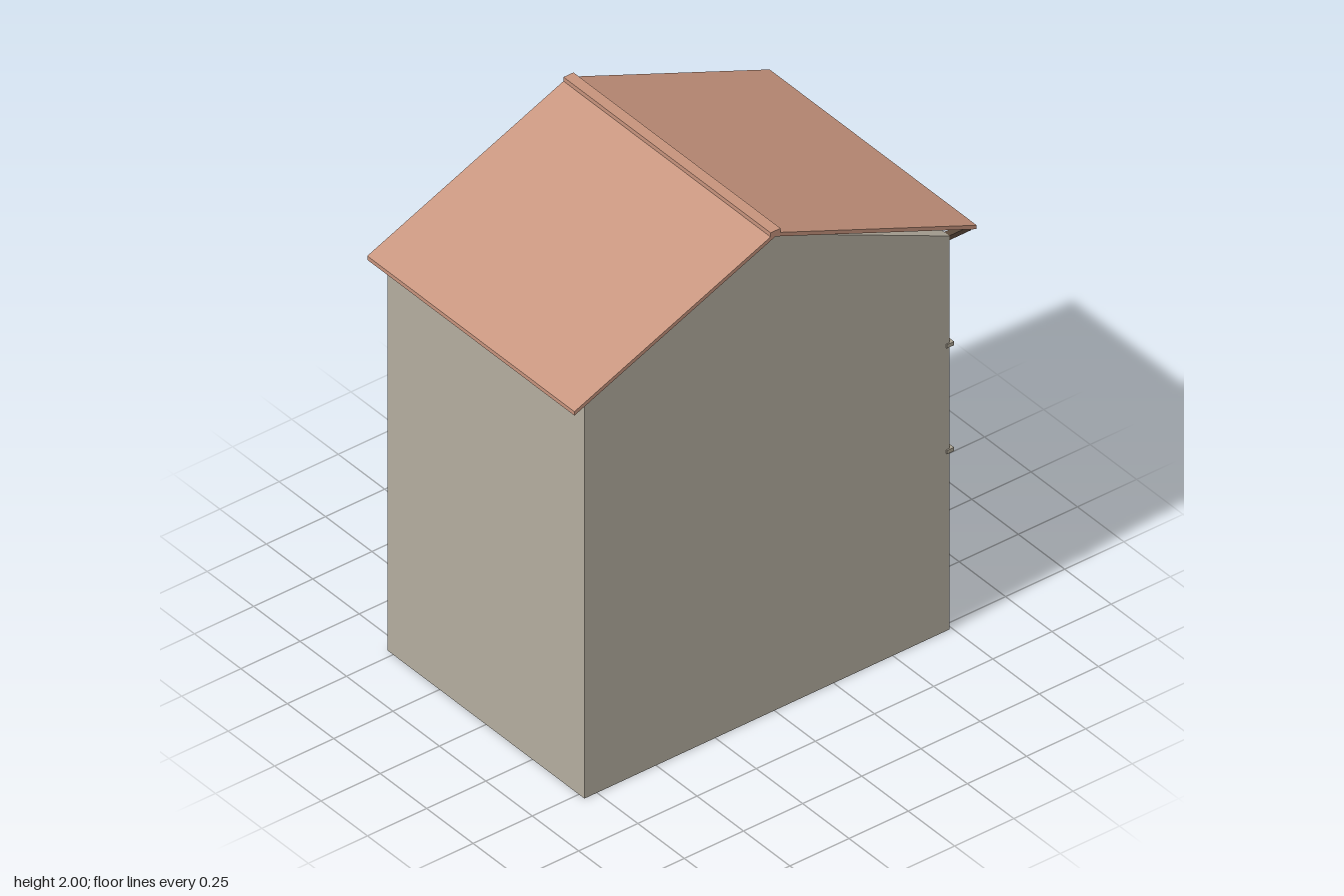
import * as THREE from 'three';

const mat = (name, color) => {
  const m = new THREE.MeshStandardMaterial({ color });
  m.name = name;
  return m;
};

export function createModel() {
  const stone = mat('stone', 0xb4ad9f);
  const trim = mat('trim stone', 0xaaa292);
  const tile = mat('roof tile', 0xc6937c);
  const dark = mat('dark opening', 0x1c1c1c);
  const shutterWood = mat('shutter wood', 0x8a6c58);
  const rafterWood = mat('rafter wood', 0x5c4a3c);
  const greyWood = mat('weathered wood', 0x857f71);
  const crateGrey = mat('crate', 0xb3ada0);
  const goods = mat('terracotta goods', 0xc8775a);

  const house = new THREE.Group();
  house.name = 'house';
  const facade = new THREE.Group();
  facade.name = 'facade';

  const add = (parent, name, geo, material, x = 0, y = 0, z = 0) => {
    const m = new THREE.Mesh(geo, material);
    m.name = name;
    m.position.set(x, y, z);
    parent.add(m);
    return m;
  };
  const box = (parent, name, w, h, d, material, x, y, z) =>
    add(parent, name, new THREE.BoxGeometry(w, h, d), material, x, y, z);

  // Extrudes a (z, y) outline along x, centred on x = 0
  const prism = (name, points, width, material) => {
    const shape = new THREE.Shape(points.map(([z, y]) => new THREE.Vector2(-z, y)));
    const geo = new THREE.ExtrudeGeometry(shape, { depth: width, bevelEnabled: false });
    geo.rotateY(Math.PI / 2).translate(-width / 2, 0, 0);
    return add(house, name, geo, material);
  };

  // Gabled body, roof slopes and ridge cap
  const ridgeZ = 0.017;
  prism('walls', [[0.803, 0], [0.803, 1.62], [ridgeZ, 1.97], [-0.74, 1.62], [-0.74, 0]], 1.06, stone);
  for (const s of [1, -1]) {
    const eave = ridgeZ + s * 0.85;
    prism('roofSlope', [[eave, 1.622], [eave, 1.638], [ridgeZ, 1.992], [ridgeZ, 1.976]], 1.115, tile);
  }
  box(house, 'ridgeCap', 1.115, 0.02, 0.042, tile, 0, 1.99, ridgeZ);

  // Facade parts are built facing +z, then turned to the back
  facade.position.z = -0.74;
  facade.rotation.y = Math.PI;
  house.add(facade);

  // Round-headed dark panel: sill height y, half width r, spring line at y + h
  const archedPanel = (parent, name, x, y, r, h) => {
    const s = new THREE.Shape();
    s.moveTo(-r, 0);
    s.lineTo(r, 0);
    s.lineTo(r, h);
    s.absarc(0, h, r, 0, Math.PI, false);
    s.closePath();
    const geo = new THREE.ExtrudeGeometry(s, { depth: 0.003, bevelEnabled: false, curveSegments: 16 });
    add(parent, name, geo, dark, x, y, 0);
  };

  // Ring of wedge stones over an arch
  const voussoirs = (parent, x, y, inner, outer, count, depth) => {
    const ring = new THREE.Group();
    ring.name = 'archStones';
    ring.position.set(x, y, 0);
    const step = Math.PI / count, gap = step * 0.05;
    for (let i = 0; i < count; i++) {
      const a = i * step + gap, b = (i + 1) * step - gap;
      const s = new THREE.Shape();
      s.absarc(0, 0, outer, a, b, false);
      s.absarc(0, 0, inner, b, a, true);
      s.closePath();
      const geo = new THREE.ExtrudeGeometry(s, { depth, bevelEnabled: false, curveSegments: 3 });
      add(ring, 'archStone', geo, trim);
    }
    parent.add(ring);
  };

  const makeWindow = (x, y, r, shutters) => {
    const g = new THREE.Group();
    g.name = 'window';
    g.position.set(x, y, 0);
    facade.add(g);
    archedPanel(g, 'opening', 0, 0, r, 0.19 - r);
    voussoirs(g, 0, 0.19 - r, r, r + 0.033, 7, 0.007);
    box(g, 'sill', 2 * r + 0.03, 0.012, 0.015, trim, 0, -0.004, 0.0075);
    if (shutters) for (const s of [1, -1])
      box(g, 'shutter', 0.052, 0.145, 0.008, shutterWood, s * (r + 0.029), 0.082, 0.004);
  };

  // Two storeys of windows; the lower middle one is narrow and bare
  for (const y of [1.305, 0.868]) for (const x of [-0.355, 0, 0.355]) {
    const bare = x === 0 && y < 1;
    makeWindow(x, y, bare ? 0.042 : 0.053, !bare);
  }

  // String courses and rafter tails
  for (const y of [1.174, 0.738]) box(facade, 'stringCourse', 1.07, 0.015, 0.03, trim, 0, y, 0);
  for (let i = 0; i < 18; i++)
    box(facade, 'rafterTail', 0.028, 0.018, 0.092, rafterWood, -0.515 + i * 1.03 / 17, 1.611, 0.046);

  // Blind arch and shop opening
  voussoirs(facade, -0.34, 0.44, 0.085, 0.12, 9, 0.007);
  const shop = new THREE.Group();
  shop.name = 'shop';
  shop.position.x = 0.152;
  facade.add(shop);
  archedPanel(shop, 'shopOpening', 0, 0.197, 0.203, 0.263);
  voussoirs(shop, 0, 0.46, 0.203, 0.262, 11, 0.008);

  // Bar running between two (z, y) points
  const slant = (name, x, w, t, [z0, y0], [z1, y1], material) => {
    const len = Math.hypot(z1 - z0, y1 - y0);
    const m = box(shop, name, w, t, len, material, x, (y0 + y1) / 2, (z0 + z1) / 2);
    m.rotation.x = -Math.atan2(y1 - y0, z1 - z0);
  };
  slant('awning', 0, 0.405, 0.006, [0.002, 0.5], [0.122, 0.55], greyWood);
  for (const s of [1, -1])
    slant('awningStrut', s * 0.195, 0.007, 0.006, [0.002, 0.425], [0.12, 0.547], rafterWood);

  // Market table with crates
  box(shop, 'tableTop', 0.405, 0.011, 0.077, greyWood, 0, 0.3, 0.0385);
  for (const s of [1, -1])
    box(shop, 'tableLeg', 0.013, 0.098, 0.013, greyWood, s * 0.175, 0.246, 0.067);
  for (let i = 0; i < 5; i++) {
    const x = -0.148 + i * 0.074;
    box(shop, 'crate', 0.054, 0.026, 0.05, crateGrey, x, 0.318, 0.03);
    box(shop, 'crateGoods', 0.046, 0.008, 0.042, i % 3 === 1 ? goods : crateGrey, x, 0.334, 0.03);
    if (i % 3 === 1) box(shop, 'crateFront', 0.054, 0.022, 0.004, goods, x, 0.318, 0.056);
  }

  return house;
}
